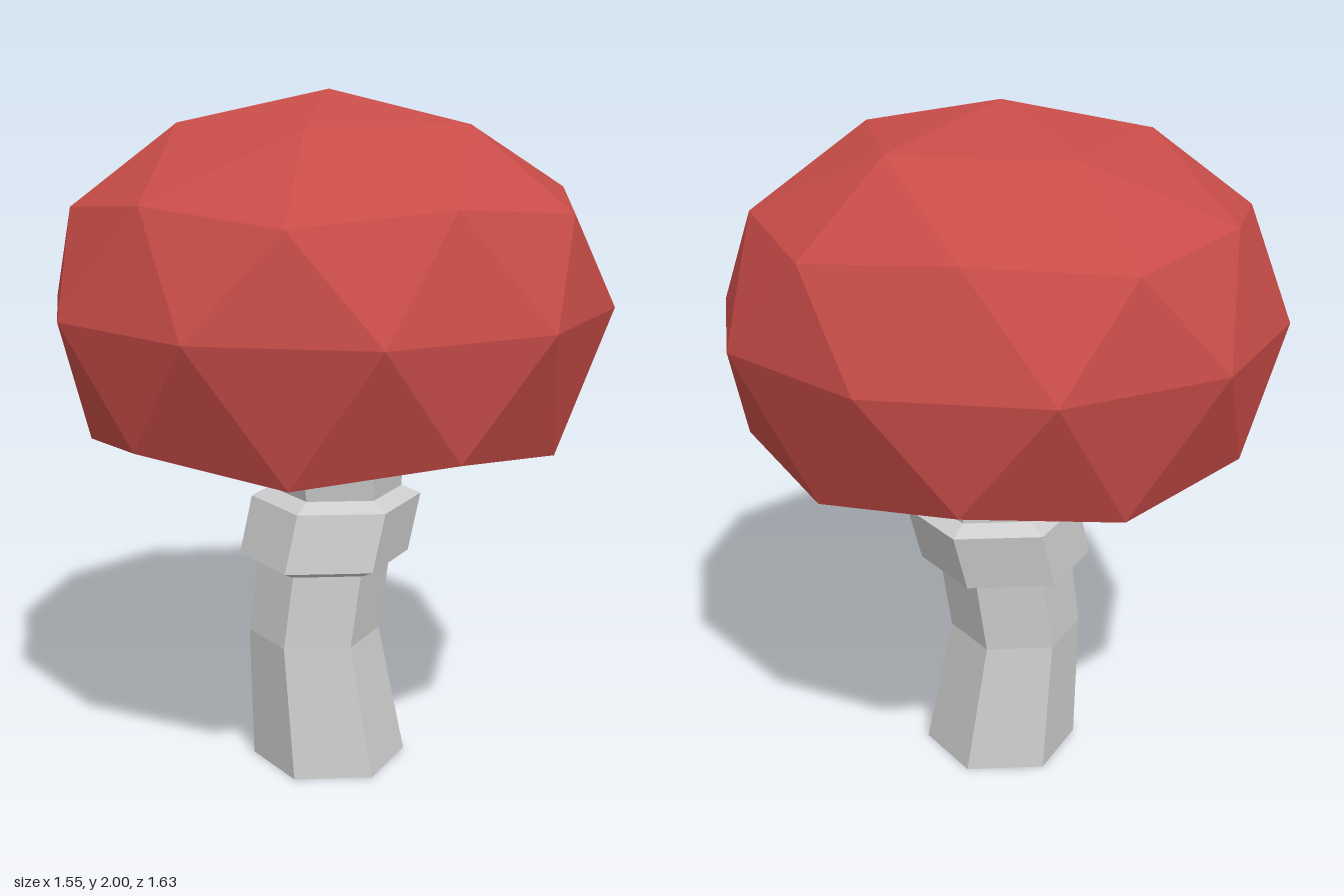
import * as THREE from 'three';

const red = new THREE.MeshStandardMaterial({ color: 0xc84c48, flatShading: true });
red.name = 'capRed';
const grey = new THREE.MeshStandardMaterial({ color: 0xcdcdcd, flatShading: true });
grey.name = 'stemGrey';

// Six-sided closed loft; each section is [y, radius, centreX, centreZ], bottom to top
function hexLoft(name, sections) {
  const n = sections.length - 1;
  const geo = new THREE.CylinderGeometry(1, 1, 1, 6, n);
  const pos = geo.attributes.position;
  for (let i = 0; i < pos.count; i++) {
    const [y, r, cx, cz] = sections[Math.round((pos.getY(i) + 0.5) * n)];
    pos.setXYZ(i, cx + pos.getX(i) * r, y, cz + pos.getZ(i) * r);
  }
  geo.computeVertexNormals();
  const mesh = new THREE.Mesh(geo, grey);
  mesh.name = name;
  return mesh;
}

// Faceted dome: an icosphere standing on a vertex, its bottom pushed up into a hollow underside
function makeCap() {
  const geo = new THREE.IcosahedronGeometry(1, 1);
  geo.rotateZ(-Math.atan(2 / (1 + Math.sqrt(5))));
  // height on the unit sphere -> height of the cap
  const levels = [
    [1, 2], [0.851, 1.91], [0.526, 1.72], [0.447, 1.683], [0, 1.402],
    [-0.447, 1.079], [-0.526, 1.021], [-0.851, 1.17], [-1, 1.25],
  ];
  const pos = geo.attributes.position;
  for (let i = 0; i < pos.count; i++) {
    const y = pos.getY(i);
    const level = levels.find(([h]) => Math.abs(h - y) < 0.02);
    pos.setXYZ(i, pos.getX(i) * 0.813, level[1], pos.getZ(i) * 0.813);
  }
  geo.computeVertexNormals();
  const mesh = new THREE.Mesh(geo, red);
  mesh.name = 'cap';
  return mesh;
}

export function createModel() {
  const group = new THREE.Group();
  group.name = 'mushroom';
  group.add(makeCap());
  // Crooked stem, its top hidden inside the cap
  group.add(hexLoft('stem', [
    [0, 0.231, 0, 0],
    [0.4, 0.196, -0.04, 0.02],
    [0.62, 0.198, -0.02, -0.005],
    [0.835, 0.196, 0, -0.05],
    [1.28, 0.235, -0.005, -0.005],
  ]));
  // Bevelled collar around the stem
  group.add(hexLoft('collar', [
    [0.617, 0.2, -0.02, -0.005],
    [0.64, 0.253, -0.02, -0.008],
    [0.81, 0.254, 0, -0.05],
    [0.836, 0.197, 0, -0.05],
  ]));
  return group;
}
